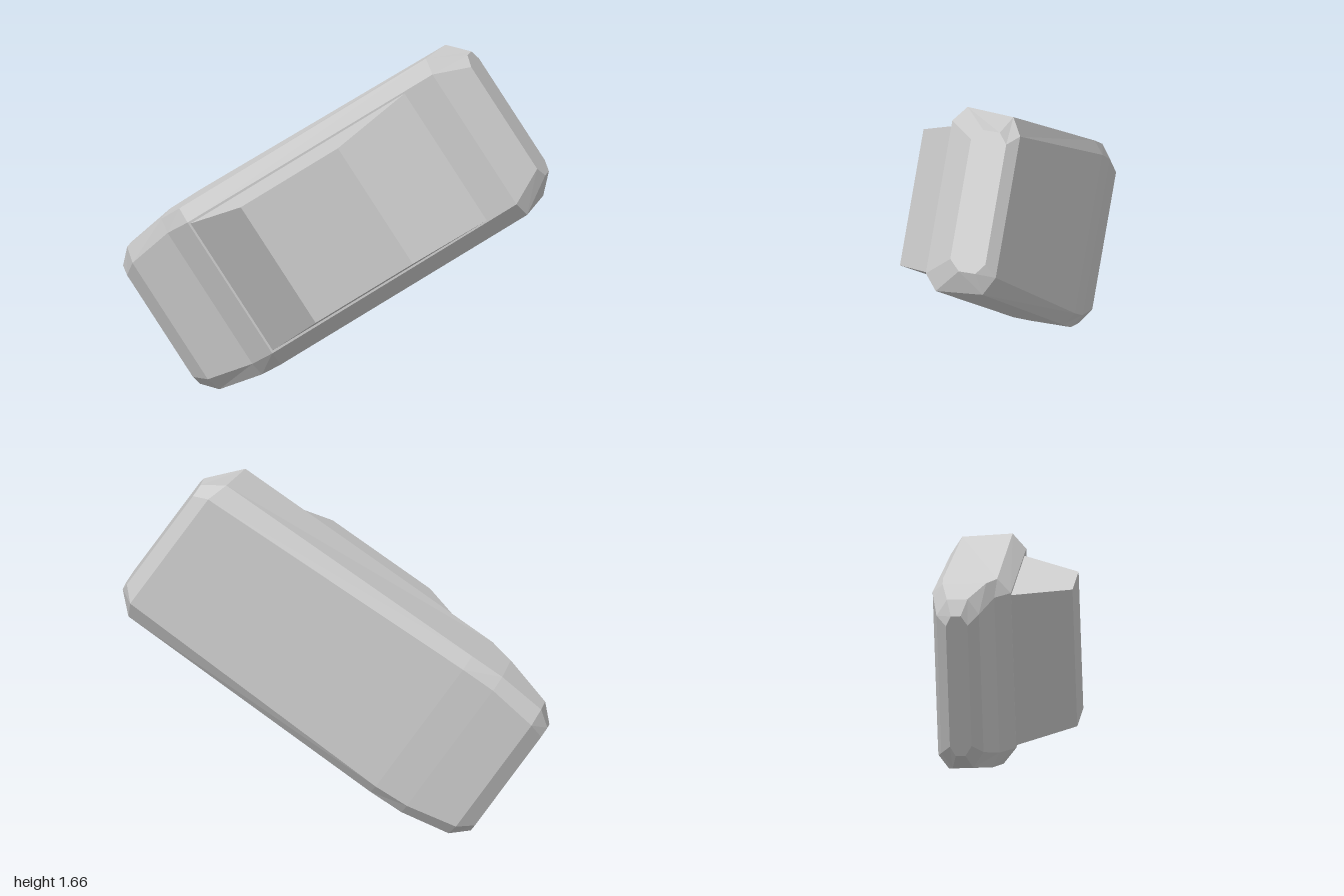
import * as THREE from 'three';

// Closed flat-sided solid through rings of [x, y, z] points,
// each ring counter-clockwise when seen from the last ring's side.
function loft(name, rings, material) {
  const n = rings[0].length;
  const index = [];
  for (let i = 0; i < rings.length - 1; i++) {
    for (let j = 0; j < n; j++) {
      const a = i * n + j, b = i * n + (j + 1) % n;
      index.push(a, b, a + n, b, b + n, a + n);
    }
  }
  const last = (rings.length - 1) * n;
  for (let j = 1; j < n - 1; j++) {
    index.push(0, j + 1, j, last, last + j, last + j + 1);
  }
  const geometry = new THREE.BufferGeometry();
  geometry.setAttribute('position', new THREE.Float32BufferAttribute(rings.flat(2), 3));
  geometry.setIndex(index);
  const flat = geometry.toNonIndexed();
  flat.computeVertexNormals();
  const mesh = new THREE.Mesh(flat, material);
  mesh.name = name;
  return mesh;
}

// Eight-sided body section from four points, mirrored across the width
const section = ([top, wallTop, wallBottom, bottom]) => {
  const flip = ([x, y, z]) => [x, -y, z];
  return [top, flip(top), flip(wallTop), flip(wallBottom), flip(bottom), bottom, wallBottom, wallTop];
};

const rectangle = (x0, x1, halfWidth, z) => [
  [x0, -halfWidth, z], [x1, -halfWidth, z], [x1, halfWidth, z], [x0, halfWidth, z],
];

export function createModel() {
  const material = new THREE.MeshStandardMaterial({ color: 0xcccccc, flatShading: true });
  const group = new THREE.Group();
  group.name = 'car';

  // Car lying on its side and tilted: x is length, y width, z height
  const car = new THREE.Group();
  car.name = 'tiltedCar';
  car.rotation.z = THREE.MathUtils.degToRad(33.6);
  car.position.y = 0.83;
  group.add(car);

  // Body from nose to tail: top edge, upper wall, lower wall, bottom edge
  const body = [
    [[-0.98, 0.28, -0.13], [-0.98, 0.325, -0.16], [-0.98, 0.325, -0.205], [-0.98, 0.28, -0.23]],
    [[-0.91, 0.32, -0.08], [-0.905, 0.392, -0.13], [-0.905, 0.392, -0.225], [-0.91, 0.32, -0.275]],
    [[-0.67, 0.36, -0.02], [-0.67, 0.428, -0.055], [-0.67, 0.428, -0.255], [-0.67, 0.365, -0.3]],
    [[-0.54, 0.36, 0.05], [-0.555, 0.43, -0.01], [-0.5, 0.43, -0.263], [-0.5, 0.37, -0.312]],
    [[0.84, 0.357, 0.05], [0.836, 0.43, -0.01], [0.877, 0.415, -0.245], [0.91, 0.33, -0.302]],
    [[0.972, 0.28, -0.09], [0.972, 0.33, -0.14], [0.972, 0.33, -0.22], [0.972, 0.28, -0.26]],
  ];
  car.add(loft('body', body.map(section), material));

  // Cabin with sloped windscreen and rear window
  car.add(loft('cabin', [
    rectangle(-0.53, 0.677, 0.349, 0.05),
    rectangle(-0.2, 0.348, 0.318, 0.315),
  ], material));

  return group;
}
